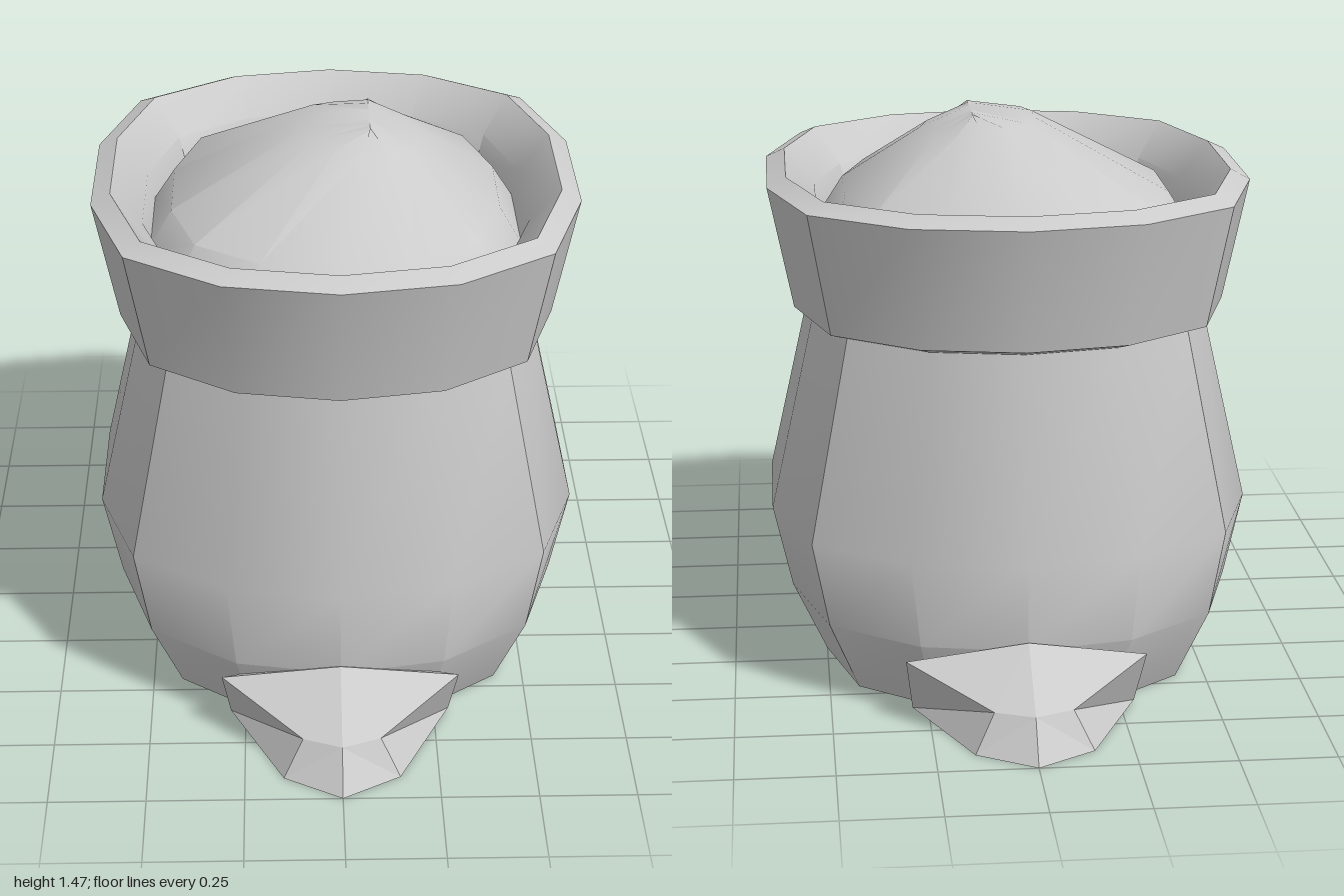
import * as THREE from 'three';
import { toCreasedNormals } from 'three/addons/utils/BufferGeometryUtils.js';

const material = new THREE.MeshStandardMaterial({ color: 0xcccccc });

// Quarter of the 14-sided oval, from the front (+z) round to the side (+x)
const quarter = [[0, 1], [0.46, 0.93], [0.845, 0.7], [1, 0.27]];
const half = [...quarter, ...quarter.slice(1).reverse().map(([x, z]) => [x, -z]), [0, -1]];
const oval = [...half, ...half.slice(1, -1).reverse().map(([x, z]) => [-x, z])];

// Skin over stacked ovals; each ring is [y, radiusX, radiusZ, centreX, tilt]
function loft(name, rings) {
  const positions = [];
  const index = [];
  const n = oval.length;
  rings.forEach(([y, rx, rz, cx = 0, tilt = 0], r) => {
    for (const [x, z] of oval) positions.push(cx + x * rx, y + x * tilt, z * rz);
    if (r === 0) return;
    for (let i = 0; i < n; i++) {
      const a = (r - 1) * n + i;
      const b = (r - 1) * n + (i + 1) % n;
      index.push(a, b, b + n, a, b + n, a + n);
    }
  });
  const geometry = new THREE.BufferGeometry();
  geometry.setAttribute('position', new THREE.Float32BufferAttribute(positions, 3));
  geometry.setIndex(index);
  const mesh = new THREE.Mesh(toCreasedNormals(geometry, 0.55), material);
  mesh.name = name;
  return mesh;
}

// Pinched bottom corner of the cloth: one half as triangles, mirrored in x
function corner(name) {
  const top = [0, 0.225, 0.737], wing = [0.31, 0.165, 0.69], brow = [0.1, 0.1, 0.88];
  const nose = [0, 0.1, 0.92], toe = [0.15, 0, 0.91], tip = [0, 0, 1];
  const heel = [0.29, 0, 0.6], inner = [0, 0.1, 0.5], base = [0, 0, 0.5];
  const triangles = [
    [top, nose, brow], [top, brow, wing],
    [nose, tip, toe], [nose, toe, brow],
    [brow, toe, heel], [brow, heel, wing],
    [base, toe, tip], [base, heel, toe],
    [top, wing, inner], [wing, heel, inner],
  ];
  const positions = [];
  for (const [a, b, c] of triangles) {
    positions.push(...a, ...b, ...c);
    for (const [x, y, z] of [a, c, b]) positions.push(-x, y, z);
  }
  const geometry = new THREE.BufferGeometry();
  geometry.setAttribute('position', new THREE.Float32BufferAttribute(positions, 3));
  geometry.computeVertexNormals();
  const mesh = new THREE.Mesh(geometry, material);
  mesh.name = name;
  return mesh;
}

export function createModel() {
  const group = new THREE.Group();
  group.name = 'openSack';

  // Bulging cloth body with a flat bottom
  group.add(loft('sackBody', [
    [0, 0, 0], [0, 0.5, 0.64], [0.2, 0.59, 0.73], [0.42, 0.64, 0.715], [0.955, 0.52, 0.63],
  ]));

  // Rolled-down rim, flaring upward, with its inner wall
  group.add(loft('rolledRim', [
    [0.955, 0.52, 0.63], [0.975, 0.57, 0.685], [1.3, 0.635, 0.757],
    [1.325, 0.585, 0.7], [1.23, 0.505, 0.61], [1.16, 0.485, 0.59],
  ]));

  // Heaped contents with an off-centre crest
  group.add(loft('heapedContents', [
    [1.16, 0.488, 0.592], [1.255, 0.43, 0.515],
    [1.425, 0.15, 0.18, 0.07, -0.02], [1.465, 0, 0.11, 0.09],
  ]));

  // Front and back corners
  const front = corner('frontCorner');
  const back = corner('backCorner');
  back.rotation.y = Math.PI;
  group.add(front, back);

  return group;
}
